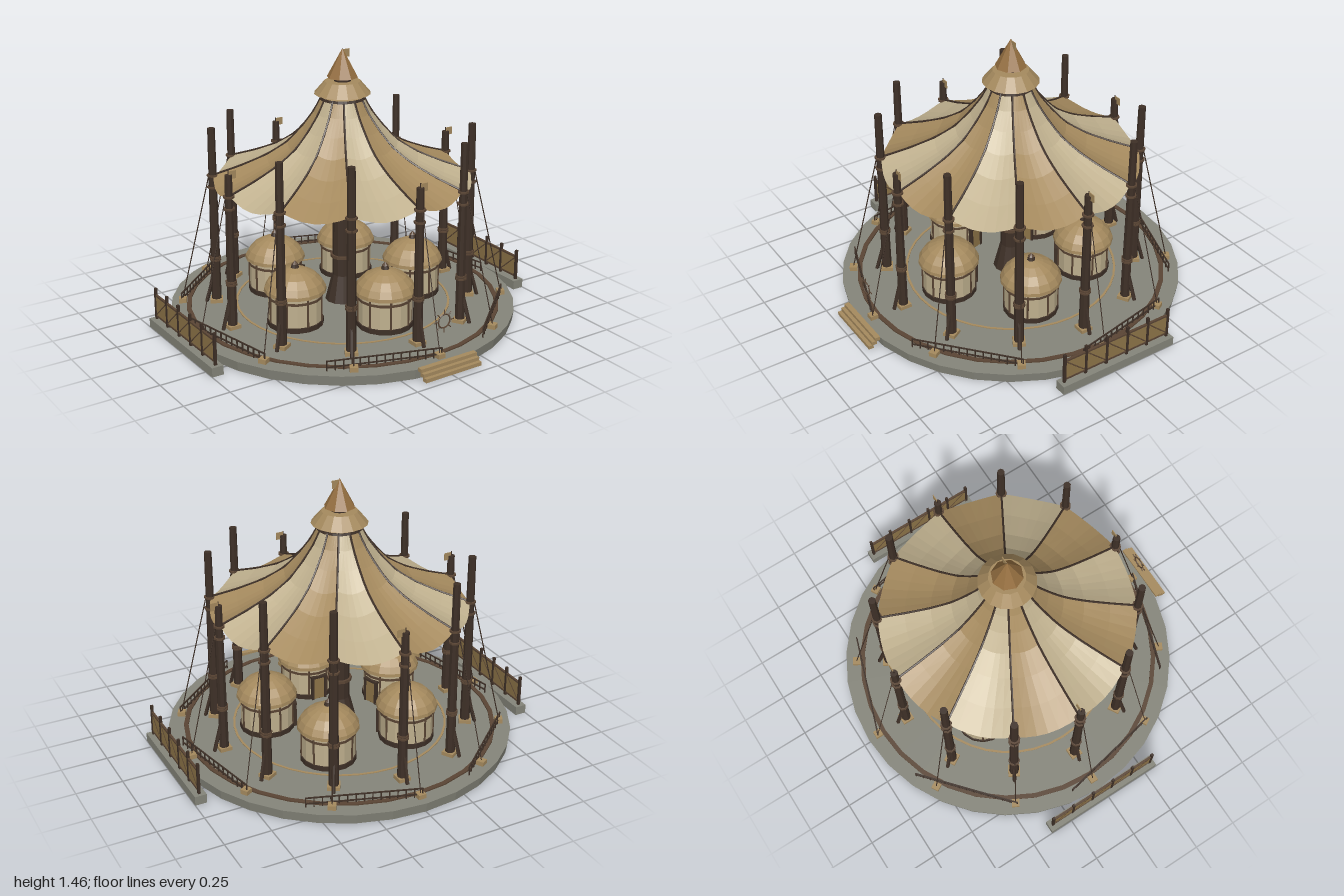
import * as THREE from 'three';

const mat = (color, extra = {}) => new THREE.MeshStandardMaterial({ color, flatShading: true, ...extra });
const stone = mat(0x85857a), wood = mat(0x3e3027), plank = mat(0x8d7448), brown = mat(0x5a4534);
const tan = mat(0xa58a5e), cream = mat(0xbfb08e);
const clothTan = mat(0xa58a5e, { side: THREE.DoubleSide });
const clothCream = mat(0xbfb08e, { side: THREE.DoubleSide });

const V = (x, y, z) => new THREE.Vector3(x, y, z);
const FLOOR = 0.053, MAST_R = 0.69;

function add(parent, name, geo, material, x = 0, y = 0, z = 0) {
  const m = new THREE.Mesh(geo, material);
  m.name = name;
  m.position.set(x, y, z);
  parent.add(m);
  return m;
}
const box = (p, name, m, w, h, d, x, y, z) => add(p, name, new THREE.BoxGeometry(w, h, d), m, x, y, z);

// Tapered cylinder standing from y0 to y1
const post = (p, name, m, rBottom, rTop, y0, y1, x = 0, z = 0, sides = 10) =>
  add(p, name, new THREE.CylinderGeometry(rTop, rBottom, y1 - y0, sides), m, x, (y0 + y1) / 2, z);

// Straight round bar between two points
function rod(p, name, m, a, b, r, sides = 5) {
  const dir = b.clone().sub(a);
  const mesh = add(p, name, new THREE.CylinderGeometry(r, r, dir.length(), sides), m);
  mesh.position.copy(a).lerp(b, 0.5);
  mesh.quaternion.setFromUnitVectors(V(0, 1, 0), dir.normalize());
  return mesh;
}

const lathe = (p, name, m, pts, sides) =>
  add(p, name, new THREE.LatheGeometry(pts.map(q => new THREE.Vector2(...q)), sides), m);

// Group turned about the centre; its local -z points outward. Angle 0 is the back.
function spoke(parent, name, degrees) {
  const g = new THREE.Group();
  g.name = name;
  g.rotation.y = -degrees * Math.PI / 180;
  parent.add(g);
  return g;
}

const flatRing = (p, name, m, r0, r1, h, sides) =>
  lathe(p, name, m, [[r0, FLOOR], [r1, FLOOR], [r1, FLOOR + h], [r0, FLOOR + h], [r0, FLOOR]], sides);

function flag(p, x, y, z) {
  rod(p, 'flagStaff', wood, V(x, y - 0.06, z), V(x, y + 0.025, z), 0.003);
  box(p, 'flag', tan, 0.042, 0.042, 0.004, x + 0.023, y, z);
}

// Tent profile: radius and height from crown to hem
const TENT = [[0.11, 1.2], [0.15, 1.125], [0.21, 1.045], [0.29, 0.96], [0.4, 0.89], [0.54, 0.83], [0.685, 0.78]];

function tentPanel() {
  const rows = TENT.length - 1;
  const geo = new THREE.PlaneGeometry(1, 1, 6, rows);
  const pos = geo.attributes.position;
  for (let i = 0; i < pos.count; i++) {
    const u = 0.5 - pos.getX(i), v = 0.5 - pos.getY(i);
    const [r, y] = TENT[Math.round(v * rows)];
    const a = u * Math.PI / 6;
    const sag = 0.04 * Math.sin(Math.PI * u) * v;
    pos.setXYZ(i, r * Math.sin(a), y - sag, -r * Math.cos(a));
  }
  geo.computeVertexNormals();
  return geo;
}

function buildMast(p, i) {
  const g = spoke(p, 'mast', i * 30), z = -MAST_R;
  const top = i % 3 === 0 ? 0.895 : 1.04;
  box(g, 'mastFooting', tan, 0.066, 0.02, 0.066, 0, FLOOR + 0.01, z);
  post(g, 'mastPole', wood, 0.027, 0.02, FLOOR, top, 0, z, 8);
  for (const y of [0.3, 0.315, 0.715, 0.78]) post(g, 'mastCollar', brown, 0.031, 0.031, y - 0.005, y + 0.005, 0, z, 8);
  rod(g, 'mastBrace', wood, V(0, FLOOR, z - 0.055), V(0, 0.2, z - 0.015), 0.011);
  // Guy rope and its anchor block
  rod(g, 'guyRope', wood, V(0, 0.78, z - 0.02), V(0, FLOOR + 0.02, -0.875), 0.003, 4);
  box(g, 'ropeAnchor', tan, 0.042, 0.025, 0.042, 0, FLOOR + 0.012, -0.875);
}

function buildHut(p, degrees) {
  const g = new THREE.Group();
  g.name = 'hut';
  g.position.z = -0.4;
  spoke(p, 'hutSpot', degrees).add(g);
  post(g, 'hutBase', wood, 0.15, 0.15, FLOOR, 0.08, 0, 0, 16);
  post(g, 'hutWall', cream, 0.143, 0.143, 0.08, 0.25, 0, 0, 16);
  post(g, 'hutBand', brown, 0.147, 0.147, 0.205, 0.218, 0, 0, 16);
  for (let k = 0; k < 8; k++) {
    const a = (k + 0.5) * Math.PI / 4;
    post(g, 'hutPost', brown, 0.006, 0.006, FLOOR, 0.25, 0.144 * Math.sin(a), 0.144 * Math.cos(a), 5);
  }
  lathe(g, 'hutRoof', clothTan, [[0.14, 0.238], [0.165, 0.24], [0.163, 0.258], [0.145, 0.292],
    [0.11, 0.328], [0.065, 0.352], [0.025, 0.365], [0, 0.367]], 16);
  post(g, 'hutFinial', wood, 0.024, 0.016, 0.36, 0.385, 0, 0, 8);
  post(g, 'hutFinialTip', brown, 0.018, 0.002, 0.385, 0.402, 0, 0, 8);
  // Door towards the middle
  box(g, 'door', plank, 0.066, 0.125, 0.016, 0, 0.117, 0.143);
  for (const s of [-1, 1]) box(g, 'doorJamb', wood, 0.012, 0.135, 0.024, s * 0.038, 0.121, 0.145);
  box(g, 'doorLintel', wood, 0.095, 0.012, 0.026, 0, 0.19, 0.145);
}

function buildRailing(p, degrees) {
  const g = spoke(p, 'railing', degrees), z = -0.83, half = 0.295;
  for (const y of [0.072, 0.105]) box(g, 'rail', wood, half * 2, 0.006, 0.007, 0, y, z);
  for (let k = 0; k <= 14; k++) {
    const x = -half + k * half / 7;
    box(g, 'baluster', wood, 0.006, 0.055, 0.006, x, FLOOR + 0.0275, z);
  }
}

// Side slab with a boarded fence
function buildSideFence(p, side) {
  const g = new THREE.Group();
  g.name = side > 0 ? 'leftFence' : 'rightFence';
  p.add(g);
  const x = side * 0.968, mid = -0.03, n = 6, step = 0.13;
  box(g, 'fenceSlab', stone, 0.064, 0.05, 0.7, x, 0.025, mid);
  box(g, 'fenceBoards', plank, 0.006, 0.12, step * (n - 1), x, 0.125, mid);
  for (const y of [0.07, 0.185]) box(g, 'fenceRail', brown, 0.012, 0.01, step * (n - 1), x, y, mid);
  for (let k = 0; k < n; k++) {
    const z = mid + (k - (n - 1) / 2) * step;
    box(g, 'fencePost', wood, 0.014, 0.175, 0.014, x, 0.1375, z);
    if (k < n - 1) rod(g, 'fenceBrace', brown, V(x, 0.07, z), V(x, 0.185, z + step), 0.005);
  }
}

export function createModel() {
  const model = new THREE.Group();
  model.name = 'tentPavilion';
  const court = new THREE.Group();
  court.name = 'court';
  court.position.z = -0.028;
  model.add(court);

  // Platform with rings let into its floor
  post(court, 'platform', stone, 0.93, 0.938, 0, FLOOR, 0, 0, 32);
  flatRing(court, 'kerbRing', brown, 0.83, 0.855, 0.007, 32);
  flatRing(court, 'pathRing', tan, 0.575, 0.587, 0.004, 40);

  // Central mast
  post(court, 'centreMast', wood, 0.058, 0.045, FLOOR, 1.31, 0, 0, 12);
  post(court, 'centreMastFoot', wood, 0.095, 0.058, FLOOR, 0.2, 0, 0, 12);
  for (const y of [0.31, 0.735]) post(court, 'centreCollar', brown, 0.067, 0.067, y - 0.008, y + 0.008, 0, 0, 12);

  // Striped tent with ridge seams
  const panel = tentPanel();
  const ridge = new THREE.CatmullRomCurve3(TENT.map(([r, y]) => V(0, y + 0.002, -r)));
  const seam = new THREE.TubeGeometry(ridge, 14, 0.006, 5);
  for (let i = 0; i < 12; i++) {
    const g = spoke(court, 'tentSection', i * 30);
    add(g, 'tentPanel', panel, i % 2 ? clothTan : clothCream);
    add(g, 'tentSeam', seam, wood);
    buildMast(court, i);
  }

  // Crown: collar, small canopy and eight-sided spire
  post(court, 'crownCollar', wood, 0.122, 0.118, 1.19, 1.203, 0, 0, 16);
  post(court, 'crownDisc', tan, 0.115, 0.1, 1.203, 1.212, 0, 0, 16);
  post(court, 'crownCanopy', tan, 0.15, 0.095, 1.22, 1.285, 0, 0, 16);
  post(court, 'spire', mat(0x946e40), 0.083, 0.002, 1.305, 1.455, 0, 0, 8);
  flag(court, 0, 1.43, 0);

  // Flags on the four short masts
  for (let k = 0; k < 4; k++) {
    const a = k * Math.PI / 2;
    flag(court, MAST_R * Math.sin(a), 0.893, -MAST_R * Math.cos(a));
  }

  for (let k = 0; k < 5; k++) buildHut(court, 180 + k * 72);
  for (let k = 0; k < 6; k++) buildRailing(court, 19 + k * 60);
  for (const side of [-1, 1]) buildSideFence(model, side);

  // Front steps
  for (let k = 0; k < 3; k++) box(model, 'step', tan, 0.345, 0.02, 0.028, 0, 0.02 + k * 0.018, 0.953 - k * 0.02);

  // Sun wheel hanging over the entrance
  const wheel = new THREE.Group();
  wheel.name = 'sunWheel';
  wheel.position.set(0, 0.262, 0.875);
  model.add(wheel);
  add(wheel, 'wheelRim', new THREE.TorusGeometry(0.036, 0.004, 5, 20), brown);
  for (let k = 0; k < 8; k++) {
    const a = k * Math.PI / 4, c = Math.cos(a), s = Math.sin(a);
    rod(wheel, 'wheelRay', brown, V(c * 0.036, s * 0.036, 0), V(c * 0.06, s * 0.06, 0), 0.003);
  }
  return model;
}
